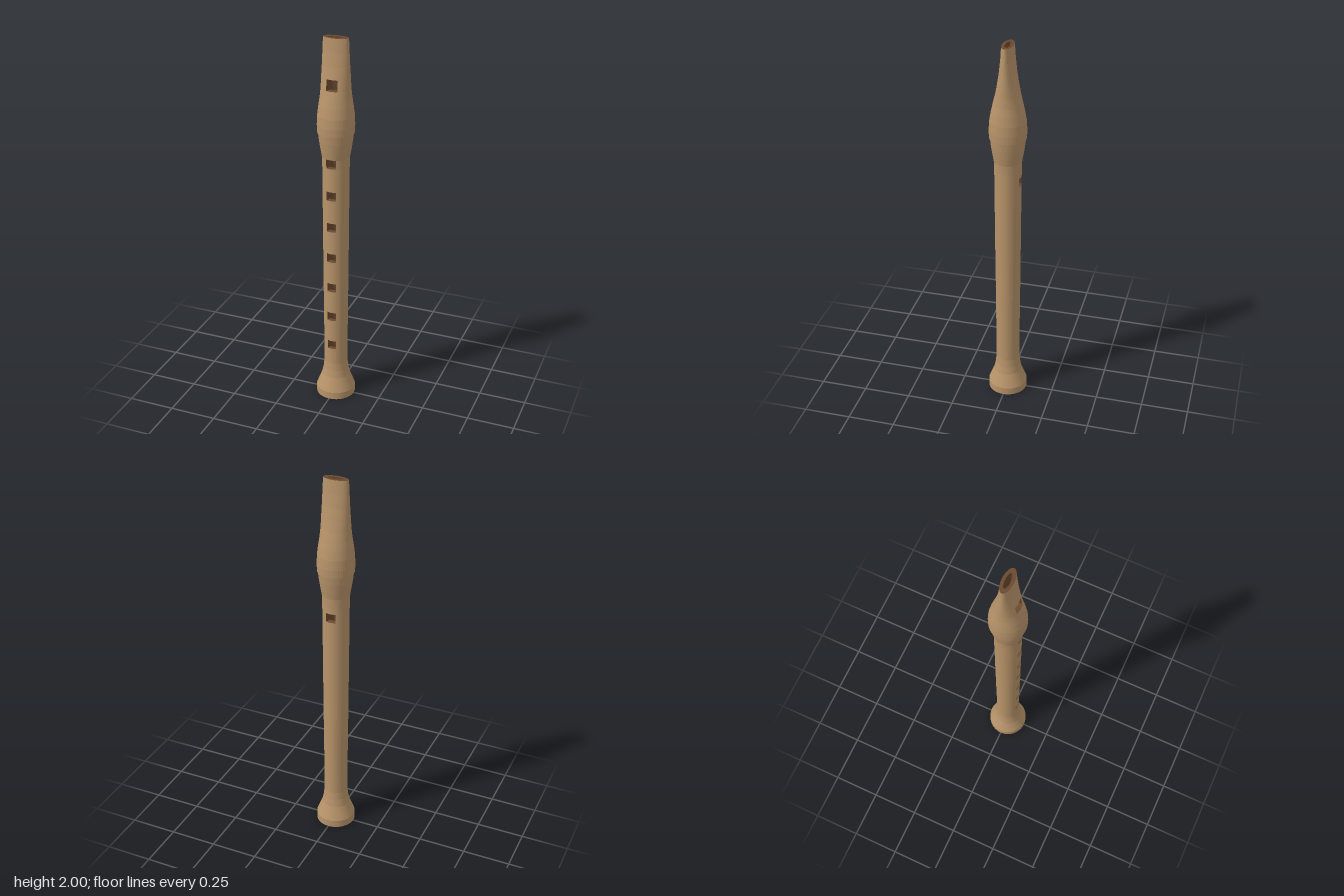
import * as THREE from 'three';

const SIDES = 48, HALF = 3; // a finger hole spans 2 * HALF columns
const wood = new THREE.MeshStandardMaterial({ color: 0xb8946a, flatShading: true });
const lining = new THREE.MeshStandardMaterial({ color: 0x6b4a30, flatShading: true, side: THREE.DoubleSide });

// Profiles: [y, half width, half depth]
const bodyOuter = [
  [0, 0.104, 0.104], [0.04, 0.104, 0.104], [0.075, 0.09, 0.09], [0.115, 0.075, 0.075],
  [0.155, 0.067, 0.067], [0.2, 0.062, 0.062], [0.28, 0.062, 0.062], [0.65, 0.065, 0.065],
  [1.0, 0.067, 0.067], [1.34, 0.069, 0.069], [1.39, 0.071, 0.071], [1.43, 0.078, 0.078],
  [1.475, 0.085, 0.085], [1.52, 0.09, 0.09],
];
const headOuter = [
  [1.52, 0.094, 0.094], [1.56, 0.095, 0.095], [1.61, 0.093, 0.092], [1.66, 0.087, 0.083],
  [1.7, 0.081, 0.074], [1.745, 0.077, 0.063], [1.8, 0.075, 0.052], [1.86, 0.072, 0.042],
  [1.93, 0.069, 0.034], [2, 0.066, 0.029],
];
const bore = [[0, 0.041, 0.041], [1.52, 0.041, 0.041], [1.7, 0.041, 0.036], [1.85, 0.041, 0.022], [2, 0.041, 0.0135]];

// Point on a profile at height y and column k (column 0 faces the front)
function at(profile, y, k) {
  let i = 1;
  while (i < profile.length - 1 && profile[i][0] < y) i++;
  const [a, b] = [profile[i - 1], profile[i]];
  const t = (y - a[0]) / (b[0] - a[0]);
  const ang = (k / SIDES) * Math.PI * 2;
  return [
    THREE.MathUtils.lerp(a[1], b[1], t) * Math.sin(ang), y,
    THREE.MathUtils.lerp(a[2], b[2], t) * Math.cos(ang),
  ];
}

function meshOf(name, positions, material) {
  const g = new THREE.BufferGeometry();
  g.setAttribute('position', new THREE.Float32BufferAttribute(positions, 3));
  g.computeVertexNormals();
  const mesh = new THREE.Mesh(g, material);
  mesh.name = name;
  return mesh;
}

// Hollow turned section; holes are {y0, y1, k}, capY the heights of its open rims
function section(name, outer, holes, capY) {
  const skin = [], inside = [];
  const quad = (out, a, b, c, d) => out.push(...a, ...b, ...c, ...a, ...c, ...d);
  const bottom = outer[0][0], top = outer[outer.length - 1][0];
  const ys = [...new Set([
    ...outer.map((p) => p[0]),
    ...bore.map((p) => p[0]).filter((y) => y > bottom && y < top),
    ...holes.flatMap((h) => [h.y0, h.y1]),
  ])].sort((a, b) => a - b);
  const inHole = (y, k) => holes.some((h) =>
    y > h.y0 && y < h.y1 && (k - h.k + HALF + SIDES) % SIDES < 2 * HALF);

  // Outer skin and bore, left open at the holes
  for (let i = 0; i + 1 < ys.length; i++) {
    const [y0, y1] = [ys[i], ys[i + 1]];
    for (let k = 0; k < SIDES; k++) {
      if (inHole((y0 + y1) / 2, k)) continue;
      quad(skin, at(outer, y0, k), at(outer, y0, k + 1), at(outer, y1, k + 1), at(outer, y1, k));
      quad(inside, at(bore, y0, k + 1), at(bore, y0, k), at(bore, y1, k), at(bore, y1, k + 1));
    }
    // Side walls of the holes
    for (const h of holes) {
      if (y0 < h.y0 || y1 > h.y1) continue;
      for (const k of [h.k - HALF, h.k + HALF])
        quad(inside, at(outer, y0, k), at(bore, y0, k), at(bore, y1, k), at(outer, y1, k));
    }
  }
  // Level walls: hole floors and ceilings, and the end rims
  const ledge = (y, k) =>
    quad(inside, at(outer, y, k), at(outer, y, k + 1), at(bore, y, k + 1), at(bore, y, k));
  for (const h of holes)
    for (let k = h.k - HALF; k < h.k + HALF; k++) [h.y0, h.y1].forEach((y) => ledge(y, k));
  for (const y of capY) for (let k = 0; k < SIDES; k++) ledge(y, k);

  const group = new THREE.Group();
  group.name = name;
  group.add(meshOf(name + 'Wood', skin, wood), meshOf(name + 'Bore', inside, lining));
  return group;
}

export function createModel() {
  const model = new THREE.Group();
  model.name = 'recorder';

  // Seven finger holes in front, one thumb hole behind
  const hole = (y, k) => ({ y0: y - 0.024, y1: y + 0.024, k });
  const holes = [hole(1.283, SIDES / 2)];
  for (let i = 0; i < 7; i++) holes.push(hole(0.318 + i * 0.1748, 0));
  model.add(section('body', bodyOuter, holes, [0]));

  // Mouthpiece with its sound window
  model.add(section('mouthpiece', headOuter, [{ y0: 1.745, y1: 1.8, k: 0 }], [1.52, 2]));
  return model;
}
